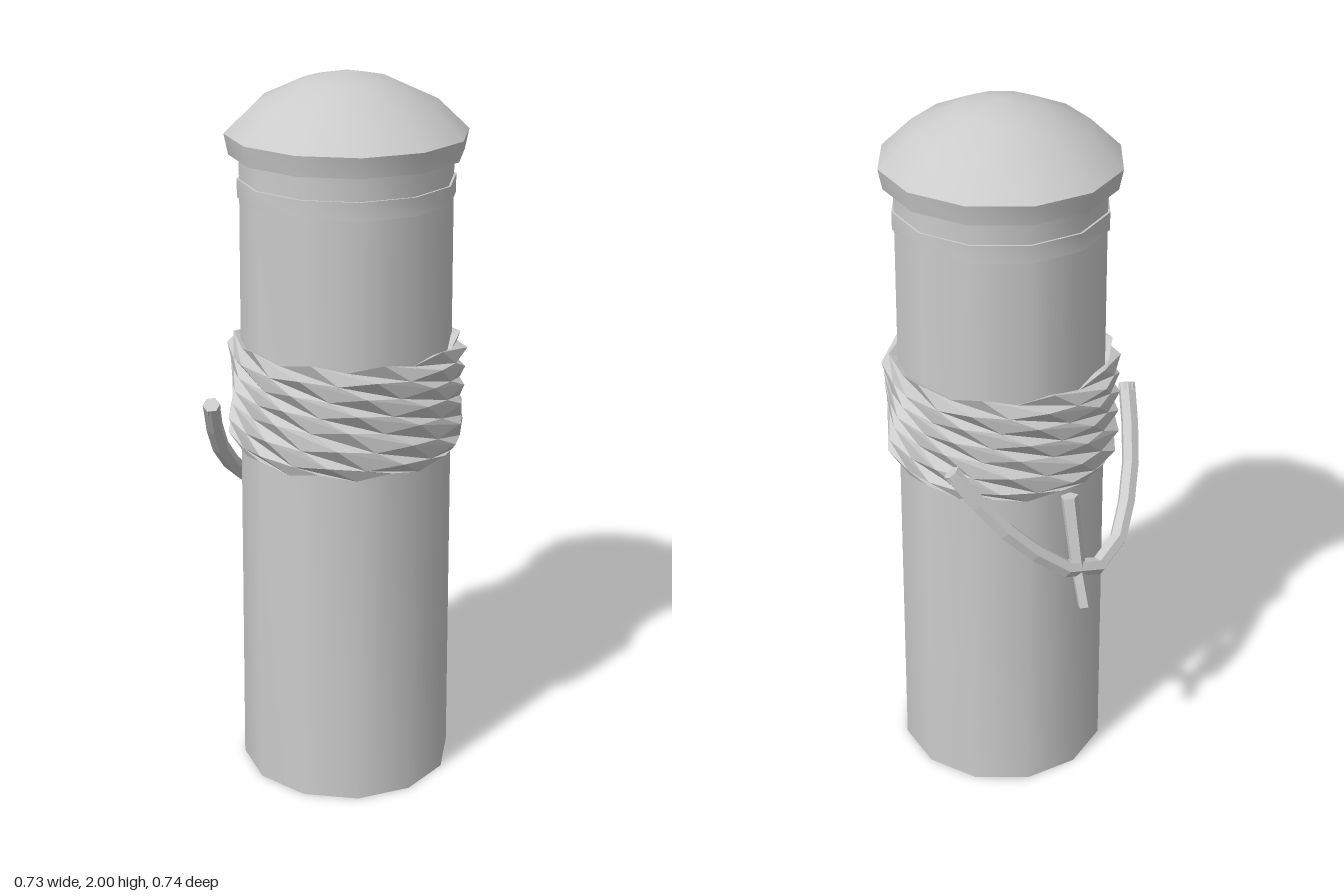
import * as THREE from 'three';
import { toCreasedNormals } from 'three/addons/utils/BufferGeometryUtils.js';

const CZ = 0.045; // post axis
const V = (x, y, z) => new THREE.Vector3(x, y, z);
const smooth = new THREE.MeshStandardMaterial({ color: 0xcccccc });
const faceted = new THREE.MeshStandardMaterial({ color: 0xcccccc, flatShading: true });

function part(group, name, geometry, material) {
  const mesh = new THREE.Mesh(geometry, material);
  mesh.name = name;
  group.add(mesh);
  return mesh;
}

// Twelve-sided turned part from [radius, height] pairs, bottom to top
function turned(profile) {
  const pts = profile.map(([r, y]) => new THREE.Vector2(r, y));
  return toCreasedNormals(new THREE.LatheGeometry(pts, 12), 0.6);
}

// Band of wound strands: scalloped rows, each turned further than the last
function wrapGeometry() {
  const N = 20, twist = 0.55;
  const rows = [[0.27, 1.265], [0.302, 1.28], [0.322, 1.245], [0.318, 1.2], [0.32, 1.155],
    [0.319, 1.11], [0.325, 1.06], [0.322, 1.01], [0.302, 0.978], [0.27, 0.99]];
  const pos = [], index = [];
  rows.forEach(([r, y], k) => {
    const edge = k < 2 || k > rows.length - 3;
    const turn = twist * Math.min(Math.max(k - 1, 0), rows.length - 3);
    for (let j = 0; j < N; j++) {
      const s = j % 2 ? 1 : -1;
      const a = j * Math.PI * 2 / N + turn;
      const rr = r + s * 0.007;
      pos.push(rr * Math.sin(a), y + s * (edge ? 0.01 : 0.006), rr * Math.cos(a));
      if (k === rows.length - 1) continue;
      const n = (j + 1) % N;
      const p = k * N + j, q = k * N + n, u = p + N, v = q + N;
      index.push(p, u, q, q, u, v);
    }
  });
  const g = new THREE.BufferGeometry();
  g.setAttribute('position', new THREE.Float32BufferAttribute(pos, 3));
  g.setIndex(index);
  return g;
}

// Short capped length of rope between two points
function ropeEnd(group, name, a, b, r0, r1, sides) {
  const dir = b.clone().sub(a);
  const m = part(group, name, new THREE.CylinderGeometry(r1, r0, dir.length(), sides), faceted);
  m.position.copy(a).lerp(b, 0.5);
  m.quaternion.setFromUnitVectors(V(0, 1, 0), dir.normalize());
}

export function createModel() {
  const model = new THREE.Group();
  model.name = 'mooringPost';

  // Post shaft with raised collar
  part(model, 'post', turned([[0, 0], [0.3, 0], [0.292, 1], [0.286, 1.67], [0.286, 1.79], [0, 1.79]]), smooth).position.z = CZ;
  part(model, 'collar', turned([[0.27, 1.67], [0.292, 1.67], [0.292, 1.72], [0.27, 1.72]]), smooth).position.z = CZ;

  // Domed cap
  part(model, 'cap', turned([[0, 1.785], [0.313, 1.785], [0.324, 1.84], [0.24, 1.92], [0.12, 1.975], [0, 2]]), smooth).position.z = CZ;

  // Rope wound round the post
  part(model, 'ropeWrap', wrapGeometry(), faceted).position.z = CZ;

  // Slack loop hanging behind, lying in a sloping plane
  const half = [[0.34, -0.115], [0.27, -0.2], [0.195, -0.26], [0.1, -0.312]];
  const flat = [...half.map(([x, z]) => [-x, z]), [0, -0.33], ...half.reverse()];
  const pts = flat.map(([x, z]) => V(x, 1.1 + (z + 0.115) * 1.65, z));
  const curve = new THREE.CatmullRomCurve3(pts);
  part(model, 'ropeLoop', new THREE.TubeGeometry(curve, 10, 0.025, 6), faceted);
  for (const [i, j] of [[0, 1], [pts.length - 1, pts.length - 2]]) {
    const end = pts[i].clone();
    const out = end.clone().sub(pts[j]).normalize();
    ropeEnd(model, 'ropeLoopEnd', end.clone().addScaledVector(out, -0.02), end.clone().addScaledVector(out, 0.003), 0.024, 0.024, 6);
  }

  // Loose rope tail tucked over the loop
  ropeEnd(model, 'ropeTailUpper', V(0.06, 0.975, -0.275), V(0.065, 0.76, -0.318), 0.025, 0.022, 5);
  ropeEnd(model, 'ropeTailLower', V(0.065, 0.79, -0.31), V(0.07, 0.655, -0.35), 0.02, 0.02, 5);
  return model;
}
